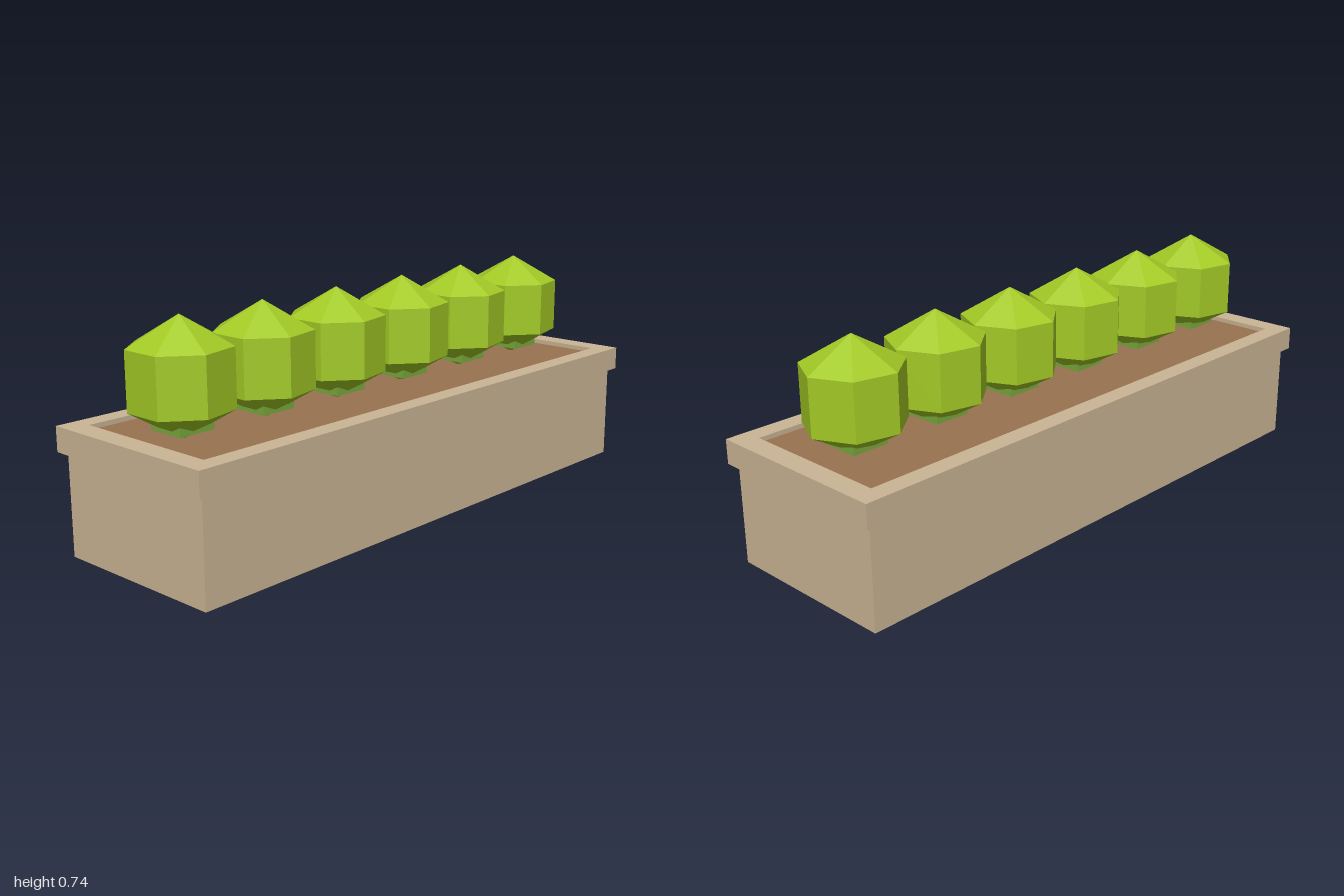
import * as THREE from 'three';

const mat = (name, color, flatShading = false) => {
  const m = new THREE.MeshStandardMaterial({ color, flatShading });
  m.name = name;
  return m;
};

export function createModel() {
  const stone = mat('sandstone', 0xcab494);
  const earth = mat('soil', 0x98724f);
  const leaf = mat('leaf green', 0xa2c925, true);
  const stalk = mat('stalk green', 0x78a83c);

  const root = new THREE.Group();
  root.name = 'planter';
  const add = (name, geometry, material, x, y, z, parent = root) => {
    const mesh = new THREE.Mesh(geometry, material);
    mesh.name = name;
    mesh.position.set(x, y, z);
    parent.add(mesh);
    return mesh;
  };

  // Trough body
  add('trough', new THREE.BoxGeometry(1.954, 0.322, 0.588), stone, 0, 0.161, 0);

  // Overhanging rim with a rectangular opening
  const rect = (path, w, d) => path.moveTo(-w, -d).lineTo(w, -d).lineTo(w, d).lineTo(-w, d).closePath();
  const rimShape = rect(new THREE.Shape(), 1, 0.313);
  rimShape.holes.push(rect(new THREE.Path(), 0.93, 0.25));
  const rimGeo = new THREE.ExtrudeGeometry(rimShape, { depth: 0.078, bevelEnabled: false });
  rimGeo.rotateX(-Math.PI / 2);
  add('rim', rimGeo, stone, 0, 0.322, 0);

  // Soil just below the top of the rim
  add('soil', new THREE.BoxGeometry(1.86, 0.063, 0.5), earth, 0, 0.3535, 0);

  // Row of clipped seven-sided bushes, each with a corner towards +x
  const bushGeo = new THREE.SphereGeometry(0.179, 7, 3, Math.PI);
  const stalkGeo = new THREE.BoxGeometry(0.124, 0.045, 0.124);
  for (let i = 0; i < 6; i++) {
    const plant = new THREE.Group();
    plant.name = 'plant' + (i + 1);
    plant.position.x = -0.792 + i * 0.313;
    root.add(plant);
    add('bush', bushGeo, leaf, 0, 0.557, 0, plant);
    add('stalk', stalkGeo, stalk, 0, 0.4275, 0, plant);
  }
  return root;
}
